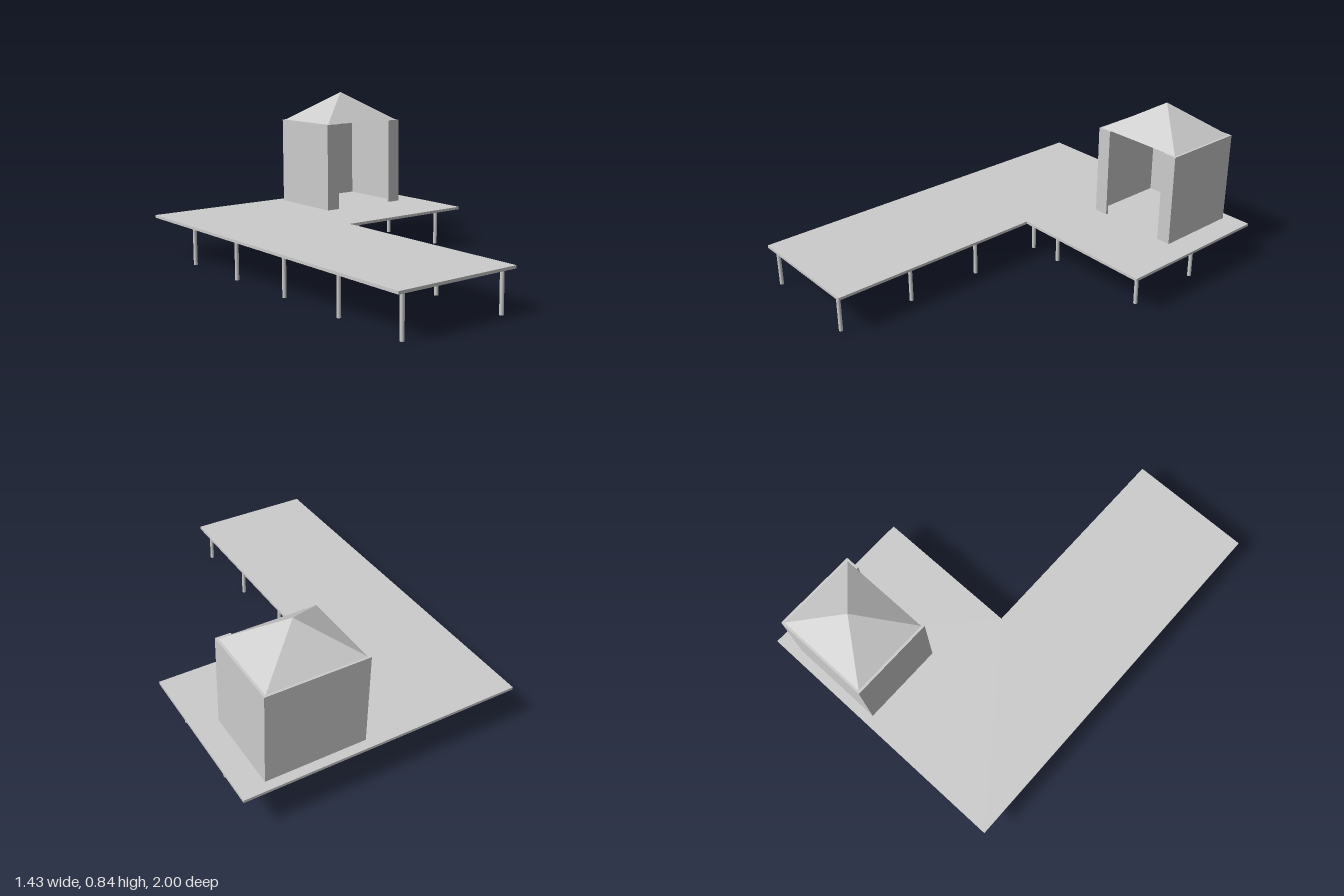
import * as THREE from 'three';

export function createModel() {
  const model = new THREE.Group();
  const flat = new THREE.MeshStandardMaterial({ color: 0xcccccc, flatShading: true, side: THREE.DoubleSide });
  const smooth = new THREE.MeshStandardMaterial({ color: 0xcccccc });
  const add = (parent, name, geometry, material, x = 0, y = 0, z = 0) => {
    const mesh = new THREE.Mesh(geometry, material);
    mesh.name = name;
    mesh.position.set(x, y, z);
    parent.add(mesh);
    return mesh;
  };

  // L-shaped deck slab, drawn as (x, -z) and laid flat
  const deckY = 0.2, deckTop = 0.214;
  const outline = [[-0.715, -1], [-0.058, -1], [-0.058, 0.148], [0.715, 0.148], [0.715, 1], [-0.715, 1]];
  const deckShape = new THREE.Shape(outline.map(([x, y]) => new THREE.Vector2(x, y)));
  const deck = new THREE.ExtrudeGeometry(deckShape, { depth: deckTop - deckY, bevelEnabled: false });
  deck.rotateX(-Math.PI / 2);
  add(model, 'deck', deck, flat, 0, deckY, 0);

  // Rows of round posts under both arms of the deck
  const posts = new THREE.Group();
  posts.name = 'posts';
  model.add(posts);
  const postGeometry = new THREE.CylinderGeometry(0.01, 0.01, deckY, 16);
  const rows = [0.97, 0.564, 0.158, -0.248, -0.654];
  for (const x of [-0.67, -0.113]) {
    for (const z of rows) add(posts, 'post', postGeometry, smooth, x, deckY / 2, z);
  }
  for (const x of [0.073, 0.629]) {
    for (const z of rows.slice(3)) add(posts, 'post', postGeometry, smooth, x, deckY / 2, z);
  }

  // Hut walls: a C-shaped plan with a wide full-height opening at the front
  const hut = new THREE.Group();
  hut.name = 'hut';
  hut.position.set(0.334, deckTop, -0.735);
  model.add(hut);
  const w = 0.254, d = 0.216, t = 0.013, door = 0.179, wallHeight = 0.471;
  const plan = [
    [-door, -d], [-door, -d + t], [-w + t, -d + t], [-w + t, d - t], [w - t, d - t], [w - t, -d + t],
    [door, -d + t], [door, -d], [w, -d], [w, d], [-w, d], [-w, -d],
  ];
  const wallShape = new THREE.Shape(plan.map(([x, y]) => new THREE.Vector2(x, y)));
  const walls = new THREE.ExtrudeGeometry(wallShape, { depth: wallHeight, bevelEnabled: false });
  walls.rotateX(-Math.PI / 2);
  add(hut, 'walls', walls, flat);

  // Pyramid roof resting just inside the outer wall faces
  const roofHeight = 0.157;
  const roof = new THREE.ConeGeometry(Math.SQRT1_2, 1, 4);
  roof.rotateY(Math.PI / 4);
  roof.scale(0.484, roofHeight, 0.41);
  add(hut, 'roof', roof, flat, 0, wallHeight + roofHeight / 2, 0);

  return model;
}
